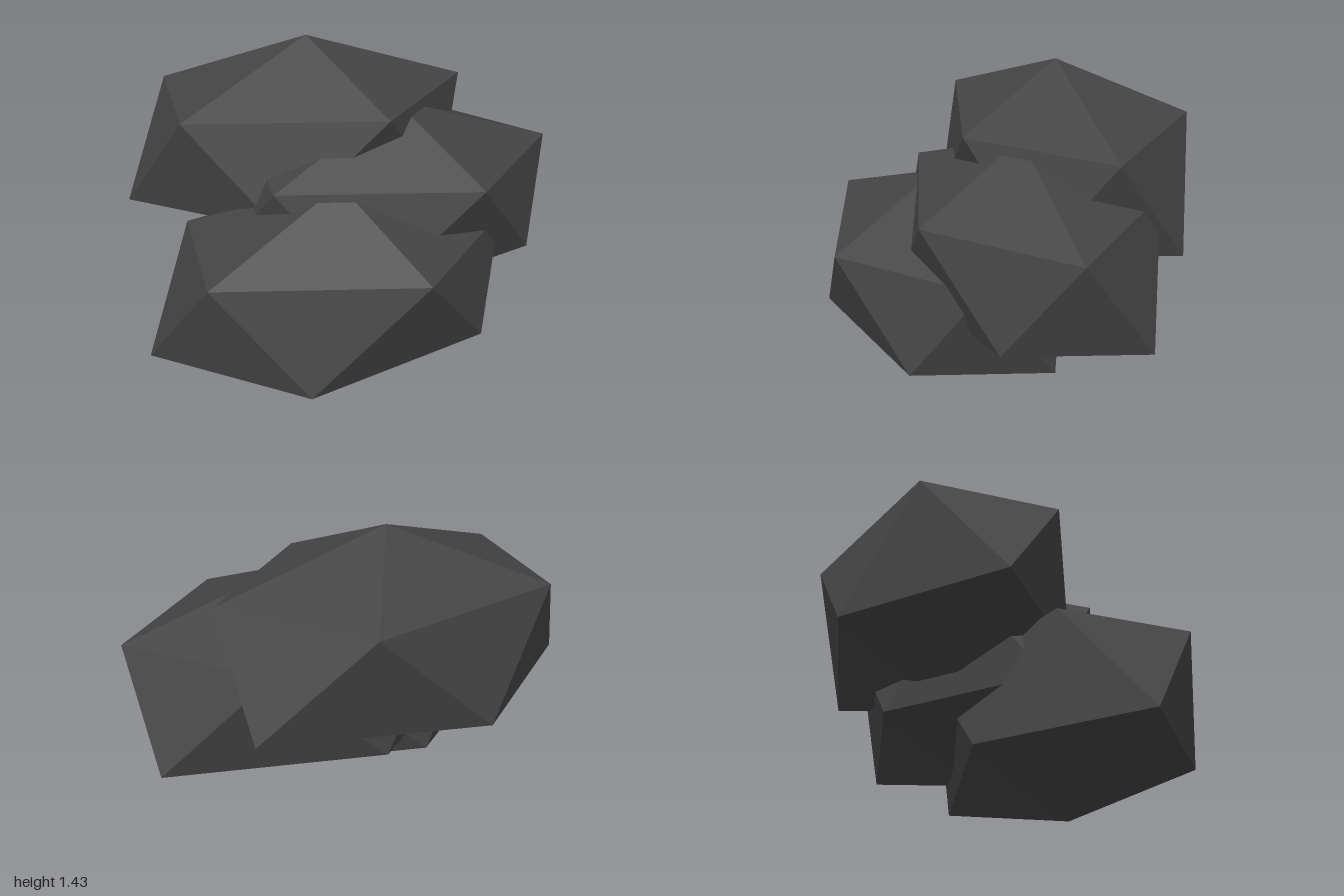
import * as THREE from 'three';

// One faceted boulder: a squashed, slightly irregular icosahedron
function boulderGeometry() {
  const apex = [-0.12, 1.43, -0.28];
  const base = [-0.12, 0.49, -0.285];
  // Both rings run clockwise seen from above, alternating in angle
  const upper = [
    [0.65, 1.17, -0.28], [0.13, 1.18, 0.245], [-0.76, 1.18, 0.03],
    [-0.76, 1.18, -0.59], [0.145, 1.195, -0.84],
  ];
  const lower = [
    [0.47, 0.725, 0.005], [-0.38, 0.705, 0.225], [-1.0, 0.69, -0.285],
    [-0.39, 0.69, -0.825], [0.59, 0.685, -0.63],
  ];
  const points = [];
  const face = (a, b, c) => points.push(...a, ...b, ...c);
  for (let i = 0; i < 5; i++) {
    const j = (i + 1) % 5;
    face(apex, upper[j], upper[i]); // crown
    face(upper[i], upper[j], lower[i]); // sides
    face(lower[i], upper[j], lower[j]);
    face(base, lower[i], lower[j]); // underside
  }
  const geometry = new THREE.BufferGeometry();
  geometry.setAttribute('position', new THREE.Float32BufferAttribute(points, 3));
  geometry.computeVertexNormals();
  return geometry;
}

export function createModel() {
  const group = new THREE.Group();
  group.name = 'rockPile';
  const stone = new THREE.MeshStandardMaterial({ color: 0x444444, flatShading: true });
  stone.name = 'dark stone';
  const geometry = boulderGeometry();

  // The same boulder stepped down towards the front
  const boulders = [
    ['topBoulder', 0, 0, 0],
    ['middleBoulder', 0.345, -0.25, 0.29],
    ['bottomBoulder', 0, -0.49, 0.595],
  ];
  for (const [name, x, y, z] of boulders) {
    const boulder = new THREE.Mesh(geometry, stone);
    boulder.name = name;
    boulder.position.set(x, y, z);
    group.add(boulder);
  }
  return group;
}
